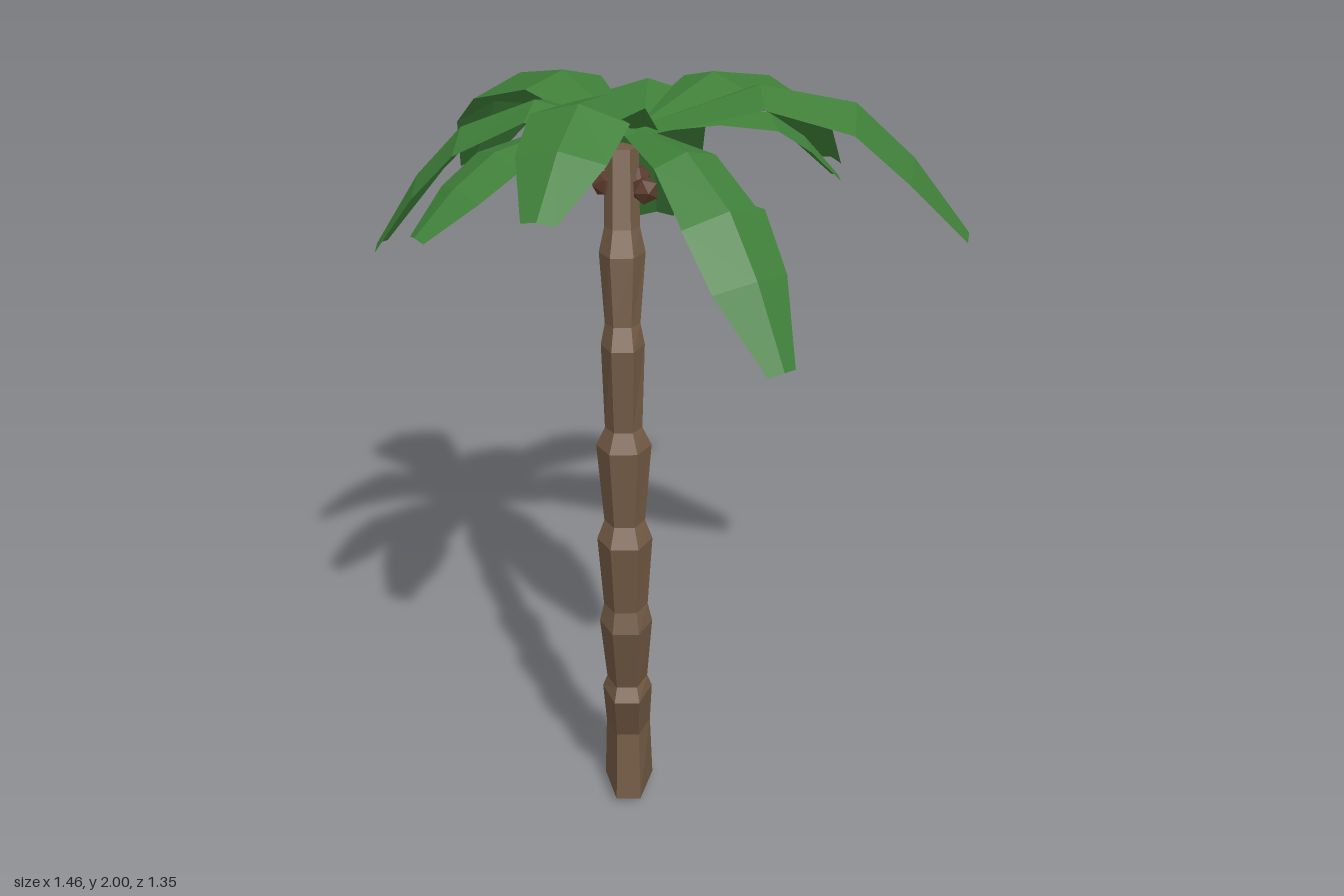
import * as THREE from 'three';

const leafGreen = new THREE.MeshStandardMaterial({ color: 0x3f7f39, flatShading: true, side: THREE.DoubleSide });
leafGreen.name = 'leafGreen';
const barkBrown = new THREE.MeshStandardMaterial({ color: 0x705843, flatShading: true });
barkBrown.name = 'barkBrown';
const nutBrown = new THREE.MeshStandardMaterial({ color: 0x5a3a2b, flatShading: true });
nutBrown.name = 'nutBrown';

function buildGeometry(positions, indices) {
  const g = new THREE.BufferGeometry();
  g.setAttribute('position', new THREE.Float32BufferAttribute(positions, 3));
  g.setIndex(indices);
  const flat = g.toNonIndexed();
  flat.computeVertexNormals();
  return flat;
}

// Hexagonal trunk: rings of [y, z, half width in x, half depth]
const TRUNK_X = -0.11;
const RINGS = [
  [0.025, 0.145, 0.064, 0.115], [0.21, 0.15, 0.058, 0.07],
  [0.36, 0.2, 0.064, 0.08], [0.395, 0.205, 0.052, 0.05],
  [0.6, 0.25, 0.066, 0.062], [0.65, 0.247, 0.055, 0.044],
  [0.845, 0.25, 0.068, 0.06], [0.89, 0.238, 0.05, 0.04],
  [1.09, 0.218, 0.067, 0.058], [1.135, 0.213, 0.045, 0.034],
  [1.34, 0.18, 0.052, 0.06], [1.39, 0.17, 0.042, 0.034],
  [1.545, 0.11, 0.055, 0.06], [1.6, 0.09, 0.042, 0.034],
  [1.77, 0.02, 0.04, 0.036],
];

function trunkGeometry() {
  const pos = [], idx = [], n = 6;
  RINGS.forEach(([y, z, rx, rz], i) => {
    // Rings lean only partly with the bend of the trunk
    const a = RINGS[Math.max(0, i - 2)], b = RINGS[Math.min(RINGS.length - 1, i + 2)];
    const tilt = i < 3 ? 0 : 0.35 * Math.atan2(b[1] - a[1], b[0] - a[0]);
    for (let k = 0; k < n; k++) {
      const t = (k / n) * Math.PI * 2;
      const d = (Math.sin(t) * rz) / 0.866;
      pos.push(TRUNK_X + Math.cos(t) * rx, y - d * Math.sin(tilt), z + d * Math.cos(tilt));
    }
  });
  for (let i = 0; i < RINGS.length - 1; i++) {
    for (let k = 0; k < n; k++) {
      const a = i * n + k, b = i * n + ((k + 1) % n);
      idx.push(a, a + n, b, b, a + n, b + n);
    }
  }
  // End caps; the foot comes to a shallow point on the ground
  const foot = pos.length / 3, top = foot + 1, last = (RINGS.length - 1) * n;
  pos.push(TRUNK_X, 0, 0.145, TRUNK_X, 1.78, 0.015);
  for (let k = 0; k < n; k++) {
    const m = (k + 1) % n;
    idx.push(foot, k, m, top, last + m, last + k);
  }
  return buildGeometry(pos, idx);
}

// Folded leaf: a ridge running from the crown to the tip, with two drooping
// halves. A torn leaf has a notch in its left edge at the widest point.
const CROWN = new THREE.Vector3(-0.08, 1.81, 0);
const REACH = [0, 0.36, 0.64, 0.82, 1];
const WIDTHS = [0.28, 0.74, 1, 0.9, 0.34];
const FOLD = 0.3;

function leafGeometry({ tip, heights, width, torn, rootX = CROWN.x }) {
  const ridge = REACH.map((t, i) => new THREE.Vector3(
    THREE.MathUtils.lerp(rootX, tip[0], t),
    i === 0 ? CROWN.y : heights[i - 1],
    THREE.MathUtils.lerp(CROWN.z, tip[1], t),
  ));
  const across = new THREE.Vector3(CROWN.z - tip[1], 0, tip[0] - rootX).normalize();
  const pos = [], idx = [];
  ridge.forEach((centre, i) => {
    const tangent = ridge[Math.min(4, i + 1)].clone().sub(ridge[Math.max(0, i - 1)]).normalize();
    const up = across.clone().cross(tangent);
    const addRow = (c, left, right) => {
      const edge = (side, w) => c.clone().addScaledVector(across, side * w).addScaledVector(up, -FOLD * w);
      pos.push(...edge(-1, left), ...c, ...edge(1, right));
    };
    const w = width * WIDTHS[i];
    if (torn && i === 2) addRow(centre.clone().lerp(ridge[1], 0.06), w * 0.8, w * 0.97);
    addRow(centre, w, w);
  });
  for (let r = 0; r < pos.length / 9 - 1; r++) {
    for (let k = 0; k < 2; k++) {
      const a = r * 3 + k;
      idx.push(a, a + 1, a + 3, a + 1, a + 4, a + 3);
    }
  }
  return buildGeometry(pos, idx);
}

// Leaves: tip as [x, z], ridge heights from the crown outwards, half width
const LEAVES = [
  { name: 'leftLeaf', tip: [0.725, -0.02], heights: [1.91, 1.865, 1.73, 1.54], width: 0.138, torn: true },
  { name: 'backLeftLeaf', tip: [0.445, -0.61], heights: [1.88, 1.82, 1.71, 1.53], width: 0.125, torn: true },
  { name: 'backLeaf', tip: [-0.03, -0.64], heights: [1.86, 1.74, 1.57, 1.36], width: 0.14, torn: false, rootX: -0.06 },
  { name: 'backRightLeaf', tip: [-0.53, -0.655], heights: [1.88, 1.82, 1.71, 1.51], width: 0.145, torn: false, rootX: -0.1 },
  { name: 'rightLeaf', tip: [-0.73, -0.16], heights: [1.86, 1.78, 1.65, 1.46], width: 0.125, torn: false },
  { name: 'frontRightLeaf', tip: [-0.555, 0.36], heights: [1.85, 1.83, 1.77, 1.68], width: 0.085, torn: true },
  { name: 'frontLeaf', tip: [-0.265, 0.67], heights: [1.965, 2.0, 1.94, 1.835], width: 0.11, torn: true, rootX: -0.05 },
  { name: 'frontLeftLeaf', tip: [0.25, 0.48], heights: [1.81, 1.72, 1.59, 1.41], width: 0.115, torn: true },
  { name: 'lowerLeftLeaf', tip: [0.42, -0.18], heights: [1.83, 1.81, 1.74, 1.63], width: 0.08, torn: true },
];

// Nuts tucked against the trunk just under the crown
const NUTS = [[-0.15, 1.69, 0.04], [-0.055, 1.69, 0.09], [-0.075, 1.7, 0.03]];

export function createModel() {
  const model = new THREE.Group();
  model.name = 'palmTree';

  const trunk = new THREE.Mesh(trunkGeometry(), barkBrown);
  trunk.name = 'trunk';
  model.add(trunk);

  const crown = new THREE.Group();
  crown.name = 'crown';
  for (const spec of LEAVES) {
    const leaf = new THREE.Mesh(leafGeometry(spec), leafGreen);
    leaf.name = spec.name;
    crown.add(leaf);
  }
  model.add(crown);

  const nuts = new THREE.Group();
  nuts.name = 'nuts';
  NUTS.forEach((at, i) => {
    const nut = new THREE.Mesh(new THREE.IcosahedronGeometry(0.034, 0), nutBrown);
    nut.name = 'nut';
    nut.position.set(...at);
    nut.rotation.set(i, i * 2, 0);
    nuts.add(nut);
  });
  model.add(nuts);

  return model;
}
